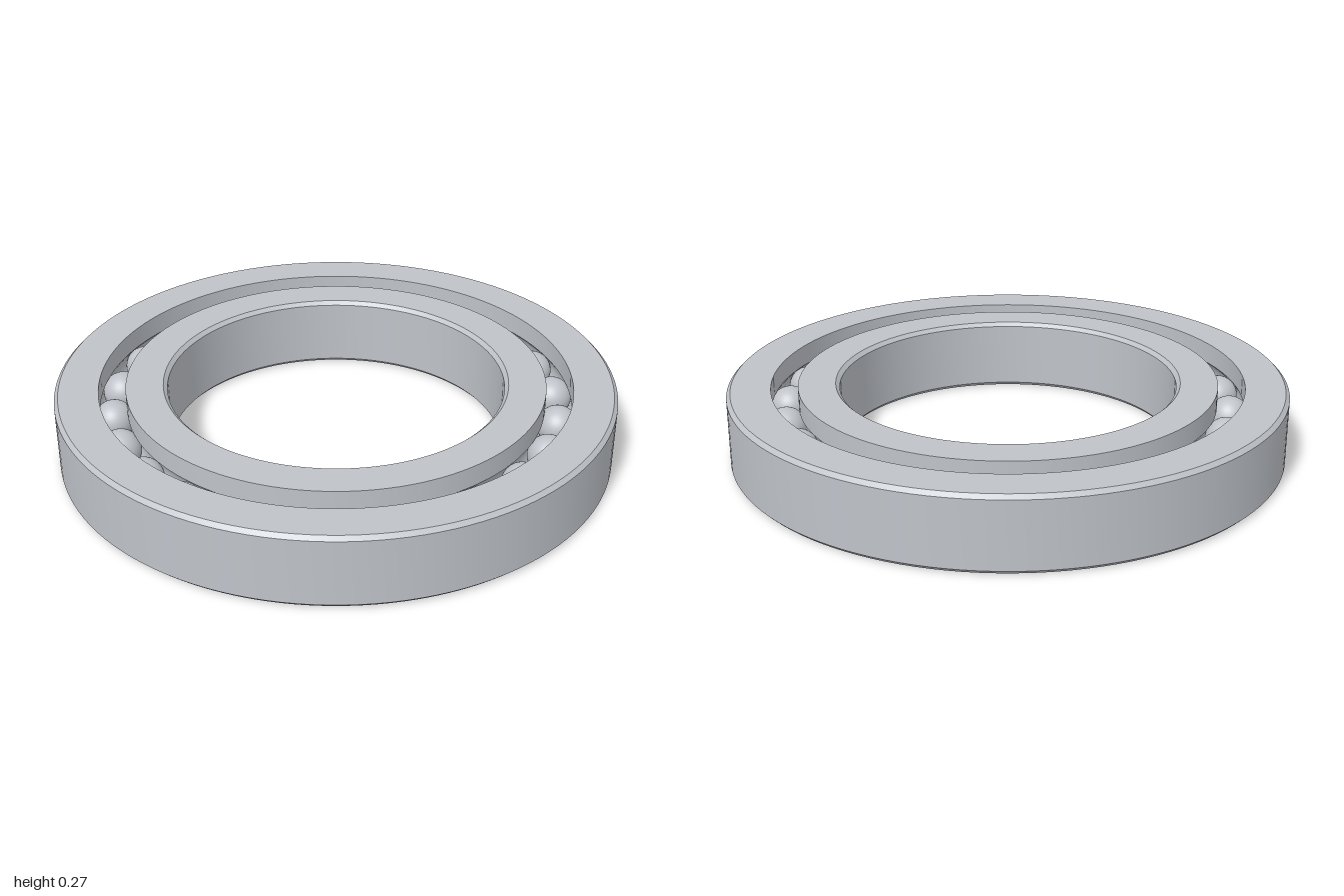
import * as THREE from 'three';
import { toCreasedNormals } from 'three/addons/utils/BufferGeometryUtils.js';

const HEIGHT = 0.266, MID = HEIGHT / 2, CHAMFER = 0.014;
const PITCH = 0.798, BALL = 0.073, BALL_COUNT = 24;

// Revolved ring: chamfered on the plain wall, with a ball groove in the other wall.
// side = 1 puts the groove on the inner wall (outer ring), -1 on the outer wall.
function makeRing(name, plainR, grooveR, side, material) {
  const pts = [
    [plainR - side * CHAMFER, 0],
    [plainR, CHAMFER],
    [plainR, HEIGHT - CHAMFER],
    [plainR - side * CHAMFER, HEIGHT],
    [grooveR, HEIGHT],
  ];
  const radius = BALL + 0.001;
  const half = Math.acos(Math.abs(grooveR - PITCH) / radius);
  for (let i = 0; i <= 12; i++) {
    const a = half * (1 - i / 6);
    pts.push([PITCH + side * radius * Math.cos(a), MID + radius * Math.sin(a)]);
  }
  pts.push([grooveR, 0], pts[0]);
  if (side < 0) pts.reverse(); // keep faces pointing outwards
  const profile = pts.map(([r, y]) => new THREE.Vector2(r, y));
  const ring = new THREE.Mesh(toCreasedNormals(new THREE.LatheGeometry(profile, 128), 0.5), material);
  ring.name = name;
  return ring;
}

export function createModel() {
  const group = new THREE.Group();
  group.name = 'ballBearing';
  const steel = new THREE.MeshStandardMaterial({ color: 0xbfc3c9 });
  steel.name = 'steel';

  group.add(makeRing('outerRing', 1, 0.845, 1, steel));
  group.add(makeRing('innerRing', 0.603, 0.75, -1, steel));

  // Balls spaced evenly between the rings
  const balls = new THREE.Group();
  balls.name = 'balls';
  const ballGeometry = new THREE.SphereGeometry(BALL, 32, 20);
  for (let i = 0; i < BALL_COUNT; i++) {
    const a = (i / BALL_COUNT) * Math.PI * 2;
    const ball = new THREE.Mesh(ballGeometry, steel);
    ball.name = 'ball';
    ball.position.set(PITCH * Math.cos(a), MID, PITCH * Math.sin(a));
    balls.add(ball);
  }
  group.add(balls);
  return group;
}
